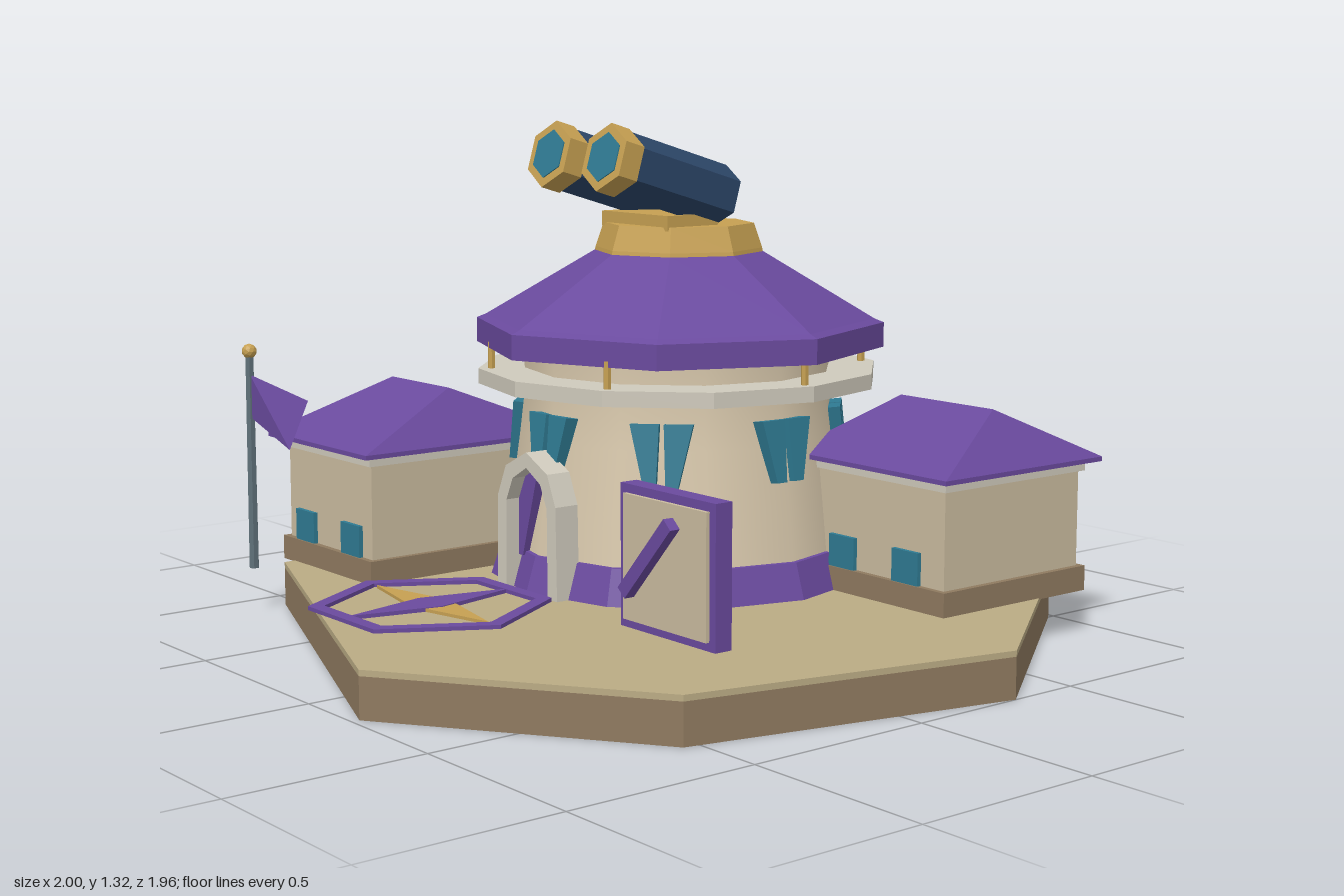
import * as THREE from 'three';
import { ConvexGeometry } from 'three/addons/geometries/ConvexGeometry.js';

const mat = (color, flat = true) =>
  new THREE.MeshStandardMaterial({ color, flatShading: flat, side: THREE.DoubleSide });
const M = {
  sand: mat(0xbaab84), earth: mat(0x8f7a60), wall: mat(0xcabb9f), plaster: mat(0xd8c8ac, false),
  trim: mat(0xcfcabc), purple: mat(0x6a4a9e), lilac: mat(0x8f74b4), gold: mat(0xc6a052),
  navy: mat(0x2c4668), teal: mat(0x2f7a92), steel: mat(0x5f7078),
};

function add(parent, name, geometry, material, x = 0, y = 0, z = 0) {
  const mesh = new THREE.Mesh(geometry, material);
  mesh.name = name;
  mesh.position.set(x, y, z);
  parent.add(mesh);
  return mesh;
}

// Box given by its limits on each axis
function box(parent, name, material, [x0, x1], [y0, y1], [z0, z1]) {
  return add(parent, name, new THREE.BoxGeometry(x1 - x0, y1 - y0, z1 - z0), material,
    (x0 + x1) / 2, (y0 + y1) / 2, (z0 + z1) / 2);
}

const shapeOf = pts => new THREE.Shape(pts.map(p => new THREE.Vector2(...p)));
const extrude = (shape, depth) =>
  new THREE.ExtrudeGeometry(shape, { depth, bevelEnabled: false, curveSegments: 6 });
// Flat plan in x and z, extruded downward from y = 0
const slab = (shape, depth) => extrude(shape, depth).rotateX(Math.PI / 2);
const lathe = (pts, sides) => new THREE.LatheGeometry(pts.map(p => new THREE.Vector2(...p)), sides);

function makeGround(root) {
  const plan = shapeOf([[-1, -0.84], [0.5, -0.98], [1, -0.31], [0.81, 0.54], [0.19, 0.98], [-0.9, 0.54]]);
  add(root, 'groundSlab', slab(plan, 0.103), M.earth, 0, 0.103, 0);
  add(root, 'groundTop', slab(plan, 0.015), M.sand, 0, 0.118, 0);
}

function makeTower(root) {
  const g = new THREE.Group();
  g.name = 'tower';
  g.position.set(-0.19, 0, -0.265);
  root.add(g);

  add(g, 'towerWall', lathe([[0.475, 0.12], [0.452, 0.3], [0.425, 0.5], [0.41, 0.63], [0.415, 0.74]], 12), M.plaster);
  add(g, 'footBand', lathe([[0.505, 0.118], [0.475, 0.21], [0.44, 0.212]], 12), M.purple);
  add(g, 'balconyRing', lathe([[0.39, 0.63], [0.535, 0.63], [0.535, 0.67], [0.39, 0.67]], 12), M.trim);
  for (let i = 0; i < 6; i++) {
    const a = i * Math.PI / 3;
    add(g, 'balconyPost', new THREE.CylinderGeometry(0.01, 0.01, 0.08, 6), M.gold,
      Math.cos(a) * 0.5, 0.7, Math.sin(a) * 0.5);
  }
  add(g, 'towerRoof', lathe([[0, 0.725], [0.545, 0.725], [0.545, 0.79], [0.52, 0.8], [0.225, 0.975], [0, 0.975]], 8), M.purple);
  add(g, 'roofCap', lathe([[0.225, 0.97], [0.222, 0.985], [0.2, 1.05], [0, 1.05]], 8), M.gold);

  // Pairs of tapered windows around the wall
  for (let i = 0; i < 8; i++) {
    const pair = new THREE.Group();
    pair.name = 'windowPair';
    pair.rotation.y = i * Math.PI / 4;
    for (const s of [-1, 1]) {
      const pane = shapeOf([[s * 0.006, 0.08], [s * 0.08, 0.08], [s * 0.044, -0.08], [s * 0.012, -0.08]]);
      add(pair, 'towerWindow', extrude(pane, 0.05), M.teal, 0, 0.49, 0.393).rotation.x = -0.11;
    }
    g.add(pair);
  }

  // Twin telescope on its mount
  box(g, 'telescopeMount', M.gold, [-0.137, 0.137], [1.04, 1.08], [-0.02, 0.15]);
  for (const s of [-1, 1]) {
    const scope = new THREE.Group();
    scope.name = 'telescope';
    scope.position.set(s * 0.116, 1.18, 0.149);
    scope.rotation.x = -0.285;
    const tube = (r, len) => new THREE.CylinderGeometry(r, r, len, 6).rotateX(Math.PI / 2);
    add(scope, 'barrel', tube(0.083, 0.36), M.navy, 0, 0, -0.02);
    add(scope, 'barrelRim', tube(0.089, 0.06), M.gold, 0, 0, 0.168);
    add(scope, 'lens', tube(0.064, 0.02), M.teal, 0, 0, 0.191);
    g.add(scope);
  }
}

function makeEntrance(root) {
  const g = new THREE.Group();
  g.name = 'entrance';
  g.position.set(-0.187, 0, 0);
  root.add(g);
  const arch = shapeOf([[-0.13, 0.118], [-0.125, 0.36], [-0.09, 0.44], [0, 0.485], [0.09, 0.44],
    [0.125, 0.36], [0.13, 0.118], [0.09, 0.118], [0.088, 0.35], [0.06, 0.41], [0, 0.445],
    [-0.06, 0.41], [-0.088, 0.35], [-0.09, 0.118]]);
  add(g, 'doorArch', extrude(arch, 0.07), M.trim, 0, 0, 0.17);
  for (const s of [-1, 1]) {
    const curtain = shapeOf([[0, 0.45], [s * 0.07, 0.41], [s * 0.092, 0.34], [s * 0.092, 0.2], [s * 0.072, 0.2]]);
    add(g, 'doorCurtain', extrude(curtain, 0.03), M.purple, 0, 0, 0.17);
  }
}

// Hip-roofed house; x and z are the eave limits, ridge gives its ends in x
function makeHouse(root, name, [x0, x1], [z0, z1], ridge) {
  const g = new THREE.Group();
  g.name = name;
  root.add(g);
  const inset = (part, material, d, y) =>
    box(g, part, material, [x0 + d, x1 - d], y, [z0 + d, z1 - d]);
  inset('plinth', M.earth, 0.026, [0.115, 0.18]);
  inset('houseWalls', M.wall, 0.042, [0.175, 0.44]);
  inset('eaveTrim', M.trim, 0.03, [0.43, 0.462]);
  const pts = [];
  for (const x of [x0, x1]) for (const z of [z0, z1]) for (const y of [0.455, 0.467])
    pts.push(new THREE.Vector3(x, y, z));
  for (const x of ridge) pts.push(new THREE.Vector3(x, 0.603, (z0 + z1) / 2));
  add(g, 'hipRoof', new ConvexGeometry(pts), M.purple);
  for (const s of [-1, 1]) {
    const c = (x0 + x1) / 2 + s * 0.115;
    box(g, 'houseWindow', M.teal, [c - 0.046, c + 0.046], [0.18, 0.264], [z1 - 0.06, z1 - 0.03]);
  }
}

function makeCompass(root) {
  const g = new THREE.Group();
  g.name = 'compass';
  g.position.set(-0.165, 0.145, 0.55);
  root.add(g);
  const hex = r => Array.from({ length: 6 }, (_, i) =>
    [r * Math.cos(i * Math.PI / 3), r * Math.sin(i * Math.PI / 3)]);
  const ring = shapeOf(hex(0.302));
  ring.holes.push(shapeOf(hex(0.262)));
  add(g, 'compassRing', slab(ring, 0.01), M.purple);
  add(g, 'compassCrossNeedle', slab(shapeOf([[-0.25, 0], [0, -0.055], [0.25, 0], [0, 0.055]]), 0.008), M.gold, 0, -0.002, 0);
  add(g, 'compassNeedle', slab(shapeOf([[-0.055, 0], [0, -0.24], [0.055, 0], [0, 0.24]]), 0.01), M.purple);
}

function makeSign(root) {
  const g = new THREE.Group();
  g.name = 'signBoard';
  root.add(g);
  box(g, 'signFrame', M.purple, [0.395, 0.737], [0.17, 0.51], [0.34, 0.388]);
  box(g, 'signPanel', M.wall, [0.416, 0.716], [0.191, 0.489], [0.36, 0.398]);
  add(g, 'signBar', new THREE.BoxGeometry(0.25, 0.034, 0.028), M.purple, 0.53, 0.355, 0.414).rotation.z = 0.84;
}

function makeFlag(root) {
  const g = new THREE.Group();
  g.name = 'flag';
  g.position.set(-0.885, 0, 0.642);
  root.add(g);
  add(g, 'flagPole', new THREE.CylinderGeometry(0.012, 0.014, 0.58, 6), M.steel, 0, 0.41, 0);
  add(g, 'poleBall', new THREE.IcosahedronGeometry(0.02, 1), M.gold, 0, 0.708, 0);
  const cloth = new THREE.BufferGeometry();
  cloth.setAttribute('position', new THREE.Float32BufferAttribute(
    [0, 0.645, 0, 0, 0.53, 0, 0.265, 0.48, 0.036, 0.275, 0.605, -0.015], 3));
  cloth.setIndex([0, 1, 2, 0, 2, 3]);
  cloth.computeVertexNormals();
  add(g, 'flagCloth', cloth, M.purple);
}

export function createModel() {
  const root = new THREE.Group();
  root.name = 'observatory';
  makeGround(root);
  makeTower(root);
  makeEntrance(root);
  makeHouse(root, 'frontHouse', [-0.985, -0.485], [-0.13, 0.533], [-0.873, -0.595]);
  makeHouse(root, 'backHouse', [0.133, 0.7], [-0.945, -0.375], [0.255, 0.583]);
  box(root, 'sideStep', M.lilac, [-0.82, -0.6], [0.115, 0.14], [-0.25, -0.1]);
  makeCompass(root);
  makeSign(root);
  makeFlag(root);
  return root;
}
